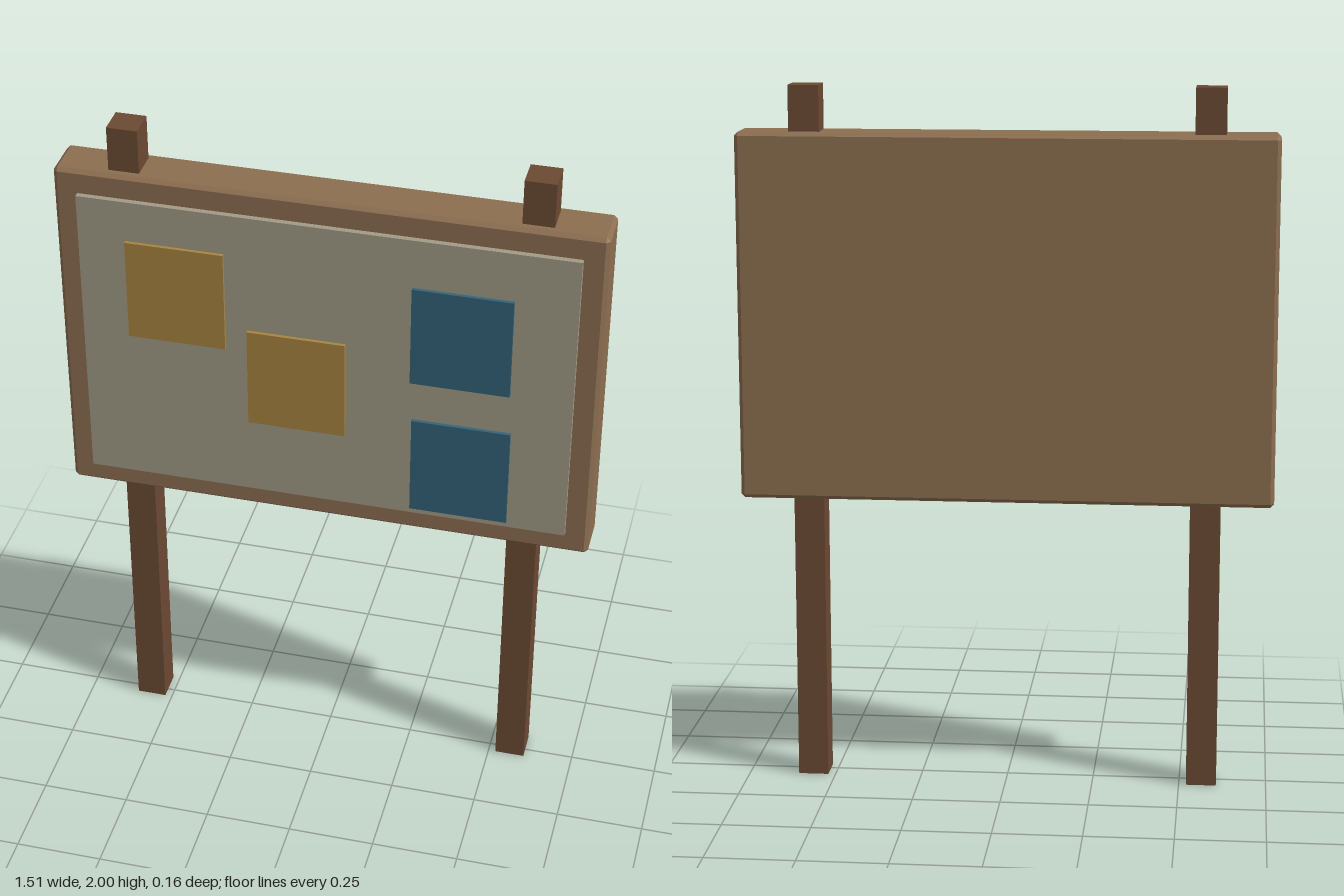
import * as THREE from 'three';
import { ConvexGeometry } from 'three/addons/geometries/ConvexGeometry.js';

const material = (color) => new THREE.MeshStandardMaterial({ color, flatShading: true });
const postWood = material(0x6b4a33);
const frameWood = material(0x8c6e50);
const panelGrey = material(0xa19a86);
const yellow = material(0xa88540);
const blue = material(0x336379);

// Box with every edge cut at 45 degrees
function chamferedBox(w, h, d, c) {
  const points = [];
  for (const sx of [-1, 1]) for (const sy of [-1, 1]) for (const sz of [-1, 1]) {
    for (let axis = 0; axis < 3; axis++) {
      const inset = [c, c, c];
      inset[axis] = 0;
      points.push(new THREE.Vector3(
        sx * (w / 2 - inset[0]), sy * (h / 2 - inset[1]), sz * (d / 2 - inset[2])));
    }
  }
  return new ConvexGeometry(points);
}

export function createModel() {
  const model = new THREE.Group();
  model.name = 'noticeBoard';

  const add = (name, geometry, mat, x, y, z) => {
    const mesh = new THREE.Mesh(geometry, mat);
    mesh.name = name;
    mesh.position.set(x, y, z);
    model.add(mesh);
  };

  // Two square posts running up through the board
  for (const [name, side] of [['leftPost', 1], ['rightPost', -1]]) {
    add(name, new THREE.BoxGeometry(0.086, 2, 0.086), postWood, side * 0.564, 1, -0.013);
  }

  // Thick wooden board with chamfered edges
  add('board', chamferedBox(1.514, 1.042, 0.136, 0.011), frameWood, 0, 1.35, -0.013);

  // Pinning surface standing proud of the front
  add('pinPanel', new THREE.BoxGeometry(1.382, 0.902, 0.03), panelGrey, 0, 1.35, 0.056);

  // Paper notes: centre x, centre y
  const notes = [
    ['yellowNoteUpper', yellow, -0.418, 1.527],
    ['yellowNoteLower', yellow, -0.079, 1.29],
    ['blueNoteUpper', blue, 0.38, 1.502],
    ['blueNoteLower', blue, 0.387, 1.072],
  ];
  for (const [name, mat, x, y] of notes) {
    add(name, new THREE.BoxGeometry(0.277, 0.304, 0.012), mat, x, y, 0.075);
  }

  return model;
}
